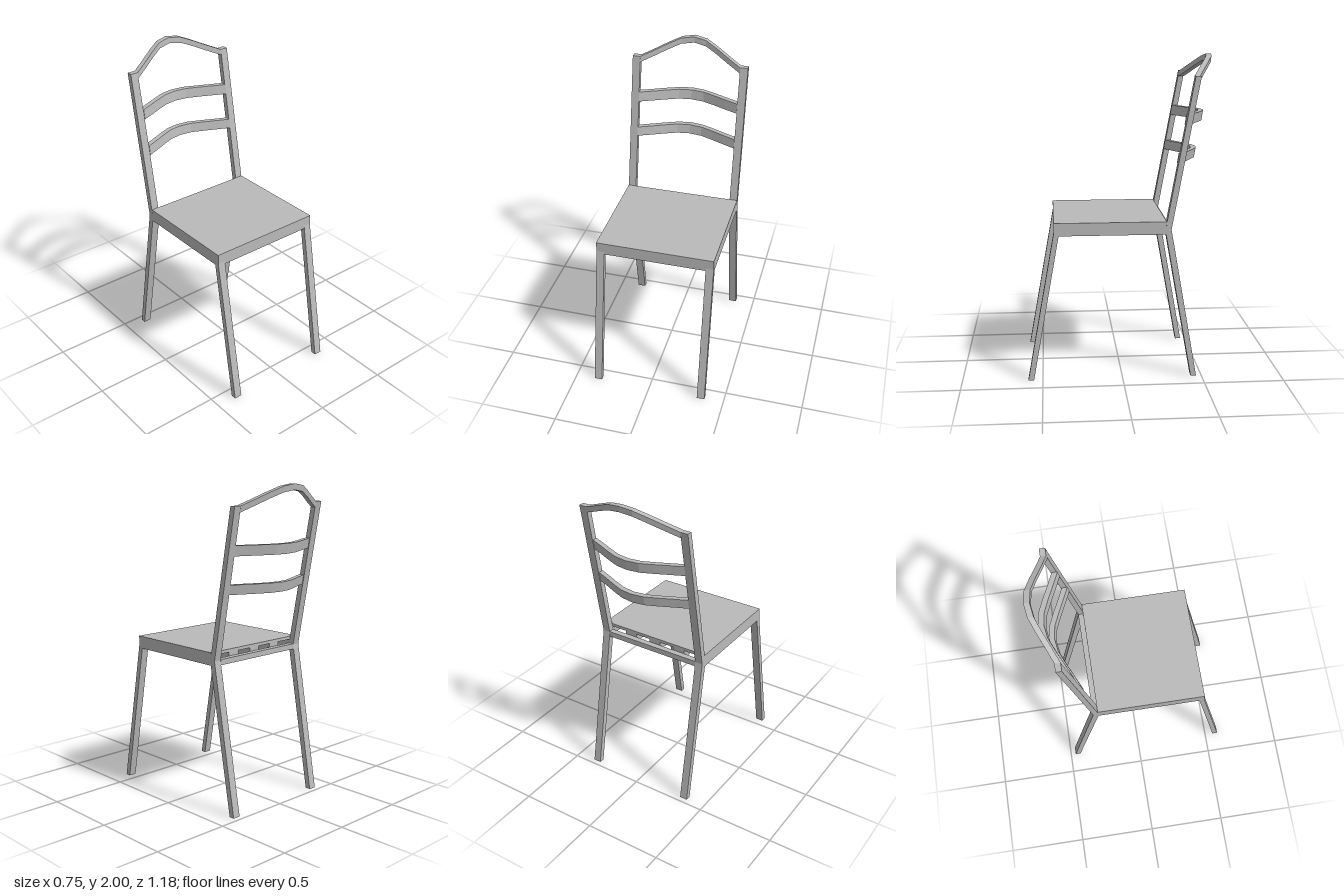
import * as THREE from 'three';

const HALF = 0.375; // half the seat width
const POST = 0.05;  // leg and rail width across x
const INNER = HALF - POST;

export function createModel() {
  const model = new THREE.Group();
  model.name = 'chair';
  const grey = new THREE.MeshStandardMaterial({ color: 0xbababa });

  const add = (name, geometry) => {
    const mesh = new THREE.Mesh(geometry, grey);
    mesh.name = name;
    model.add(mesh);
    return mesh;
  };

  // Box given by its limits on each axis
  const box = (name, x0, x1, y0, y1, z0, z1) => {
    const g = new THREE.BoxGeometry(x1 - x0, y1 - y0, z1 - z0);
    g.translate((x0 + x1) / 2, (y0 + y1) / 2, (z0 + z1) / 2);
    return add(name, g);
  };

  // Side profile of [z, y] points, extruded across x for a left and right pair
  const pair = (name, points) => {
    for (const side of [-1, 1]) {
      const shape = new THREE.Shape(points.map(([z, y]) => new THREE.Vector2(z, y)));
      const g = new THREE.ExtrudeGeometry(shape, { depth: POST, bevelEnabled: false });
      g.rotateY(-Math.PI / 2);
      g.translate(side * (HALF - POST / 2) + POST / 2, 0, 0);
      add((side > 0 ? 'left' : 'right') + name, g);
    }
  };

  // Legs; the back ones bend at the seat and run on as backrest posts
  pair('FrontLeg', [[0.555, 0], [0.59, 0], [0.42, 0.94], [0.387, 0.94]]);
  pair('BackLegAndPost', [
    [-0.467, 0], [-0.432, 0], [-0.265, 0.93], [-0.272, 1.0],
    [-0.435, 1.88], [-0.47, 1.88], [-0.3, 0.95],
  ]);

  // Seat board on a frame of rails
  box('seatBoard', -HALF, HALF, 0.98, 1.0, -0.27, 0.42);
  box('frontRail', -HALF, HALF, 0.92, 0.98, 0.387, 0.42);
  box('backRail', -INNER, INNER, 0.92, 0.955, -0.302, -0.265);
  for (const side of [-1, 1]) {
    const x = side * (HALF - POST / 2);
    box(side > 0 ? 'leftRail' : 'rightRail', x - POST / 2, x + POST / 2, 0.92, 0.98, -0.268, 0.387);
  }

  // Slats under the seat, running front to back
  for (let i = -1; i <= 1; i++) {
    const x = i * 0.18;
    box('underSlat', x - 0.04, x + 0.04, 0.92, 0.98, -0.265, 0.387);
  }

  // Backrest rails: segmented bars bowed backwards, optionally bowed upwards too
  const bow = [0, 0.012, 0.046, 0.084, 0.12];
  const bowedRail = (name, y0, y1, z, lean, rise) => {
    const g = new THREE.BoxGeometry(2 * INNER, y1 - y0, 0.035, 8, 1, 1);
    const p = g.attributes.position;
    for (let i = 0; i < p.count; i++) {
      const amount = 0.12 - bow[Math.round(Math.abs(p.getX(i)) / (INNER / 4))];
      const up = p.getY(i) > 0 ? 1 : 0;
      p.setZ(i, p.getZ(i) + z - amount - lean * up);
      p.setY(i, p.getY(i) + (y0 + y1) / 2 + rise * amount);
    }
    const flat = g.toNonIndexed();
    flat.computeVertexNormals();
    add(name, flat);
  };
  bowedRail('lowerBackSlat', 1.355, 1.415, -0.352, 0.01, 0);
  bowedRail('upperBackSlat', 1.587, 1.65, -0.395, 0.01, 0);
  bowedRail('topRail', 1.843, 1.88, -0.448, 0.004, 1);

  return model;
}
